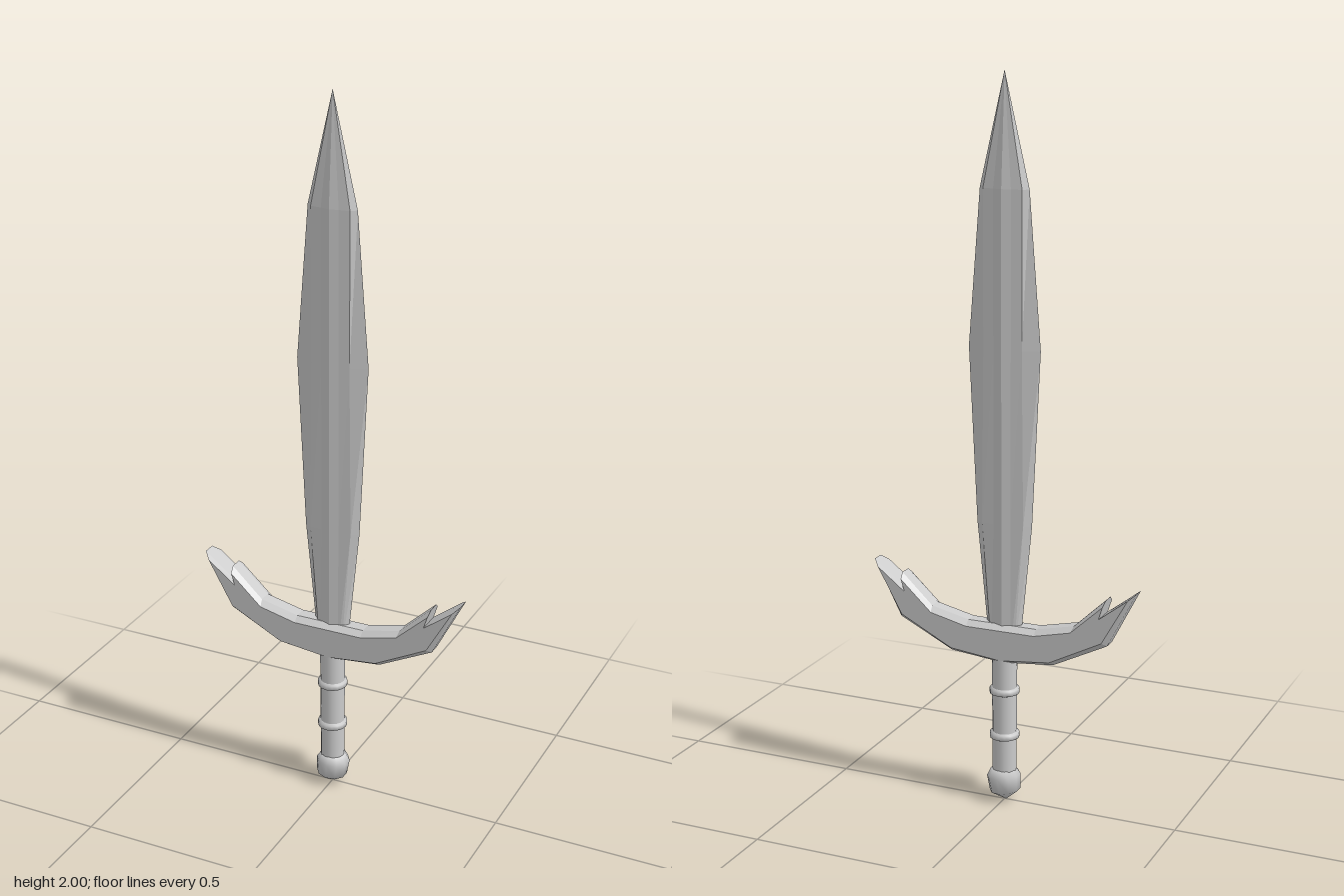
import * as THREE from 'three';

const material = new THREE.MeshStandardMaterial({ color: 0xcccccc });
const flatMaterial = new THREE.MeshStandardMaterial({ color: 0xcccccc, flatShading: true });

// Joins closed rings of [x, y, z] points with quads; optional cap faces close both ends.
function loft(rings, capFaces = []) {
  const positions = [];
  const tri = (a, b, c) => positions.push(...a, ...b, ...c);
  for (let j = 0; j < rings.length - 1; j++) {
    const lower = rings[j], upper = rings[j + 1], n = lower.length;
    for (let i = 0; i < n; i++) {
      const k = (i + 1) % n;
      tri(lower[i], upper[i], lower[k]);
      tri(lower[k], upper[i], upper[k]);
    }
  }
  const first = rings[0], last = rings[rings.length - 1];
  for (const [a, b, c] of capFaces) {
    tri(first[a], first[b], first[c]);
    tri(last[a], last[c], last[b]);
  }
  const geometry = new THREE.BufferGeometry();
  geometry.setAttribute('position', new THREE.Float32BufferAttribute(positions, 3));
  geometry.computeVertexNormals();
  return geometry;
}

// Leaf-shaped blade: ridged cross-section at each height.
function bladeGeometry() {
  // height, half width, bevel line, scale of thickness
  const stations = [
    [0.45, 0.045, 0.034, 1],
    [0.80, 0.08, 0.06, 1],
    [1.28, 0.103, 0.055, 1],
    [1.70, 0.07, 0.055, 1],
    [2.00, 0, 0, 0],
  ];
  return loft(stations.map(([y, w, m, s]) => {
    const quarter = [[w, 0], [m, 0.014 * s], [0.025 * s, 0.017 * s], [0, 0.022 * s]];
    const front = [...quarter, ...quarter.slice(1, 3).reverse().map(([x, z]) => [-x, z])];
    const section = [...front, ...front.map(([x, z]) => [-x, -z])];
    return section.map(([x, z]) => [x, y, z]);
  }));
}

// Curved crossguard with forked ends and bevelled long edges.
function guardGeometry() {
  const mirror = (half) => [
    ...half,
    ...half.slice(1, -1).reverse().map(([x, y]) => [-x, y]),
  ];
  const outer = mirror([
    [0, 0.41], [0.15, 0.425], [0.305, 0.502], [0.385, 0.658], [0.286, 0.58],
    [0.30, 0.63], [0.21, 0.545], [0.10, 0.52], [0, 0.52],
  ]);
  const inset = mirror([
    [0, 0.421], [0.145, 0.437], [0.295, 0.514], [0.367, 0.642], [0.286, 0.58],
    [0.297, 0.615], [0.206, 0.531], [0.10, 0.506], [0, 0.506],
  ]);
  const ring = (outline, z) => outline.map(([x, y]) => [x, y, z]);
  const faces = THREE.ShapeUtils.triangulateShape(
    inset.map(([x, y]) => new THREE.Vector2(x, y)), []);
  return loft(
    [ring(inset, 0.036), ring(outer, 0.018), ring(outer, -0.018), ring(inset, -0.036)], faces);
}

export function createModel() {
  const group = new THREE.Group();
  const add = (name, geometry, mat = material) => {
    const mesh = new THREE.Mesh(geometry, mat);
    mesh.name = name;
    group.add(mesh);
    return mesh;
  };

  add('blade', bladeGeometry(), flatMaterial);
  add('crossguard', guardGeometry(), flatMaterial);

  // Grip with two raised bands
  add('grip', new THREE.CylinderGeometry(0.035, 0.033, 0.37, 16)).position.y = 0.265;
  for (const y of [0.195, 0.325]) {
    const profile = [[0.03, -0.012], [0.041, -0.007], [0.041, 0.007], [0.03, 0.012]];
    add('gripBand', new THREE.LatheGeometry(
      profile.map(([r, h]) => new THREE.Vector2(r, h)), 16)).position.y = y;
  }

  // Faceted pommel, slightly tilted
  const pommelProfile = [[0, -0.05], [0.043, -0.02], [0.047, 0.024], [0.034, 0.045], [0, 0.047]];
  const pommel = add('pommel', new THREE.LatheGeometry(
    pommelProfile.map(([r, h]) => new THREE.Vector2(r, h)), 10));
  pommel.position.y = 0.05;
  pommel.rotation.z = -0.1;

  return group;
}
